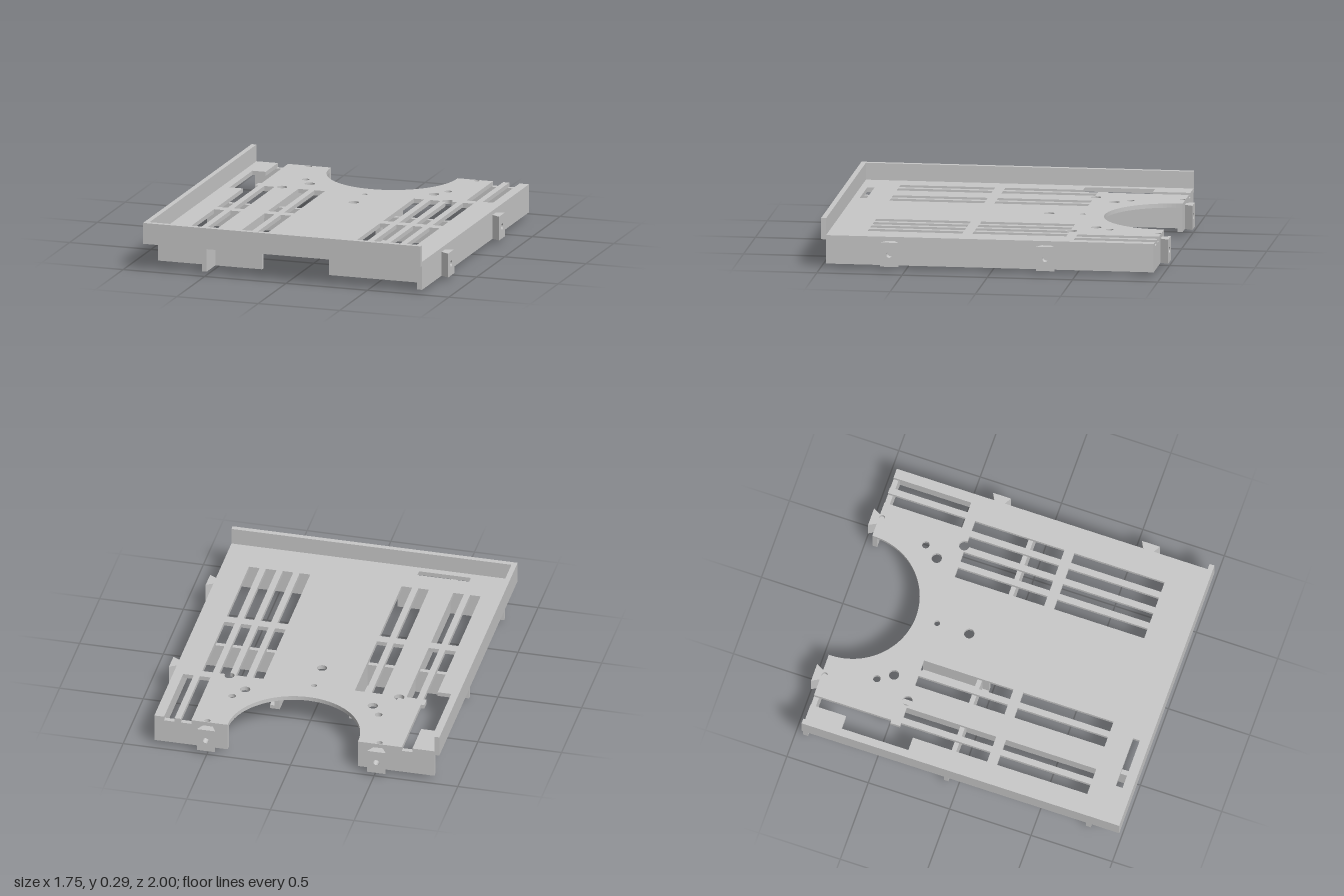
import * as THREE from 'three';

export function createModel() {
  const model = new THREE.Group();
  const metal = new THREE.MeshStandardMaterial({ color: 0xc8c8c8 });
  metal.name = 'grey metal';

  const add = (name, geometry) => {
    const mesh = new THREE.Mesh(geometry, metal);
    mesh.name = name;
    model.add(mesh);
    return mesh;
  };
  // Box given by its limits on each axis
  const box = (name, x0, x1, y0, y1, z0, z1) =>
    add(name, new THREE.BoxGeometry(x1 - x0, y1 - y0, z1 - z0))
      .position.set((x0 + x1) / 2, (y0 + y1) / 2, (z0 + z1) / 2);

  const back = -0.952; // rear edge of the deck

  // Deck outline in plan (x, z), with open slots and a round cut-out at the back
  const deck = new THREE.Shape();
  const lines = (path, pts) => pts.forEach(([x, z]) => path.lineTo(x, z));
  deck.moveTo(-0.848, 0.97);
  lines(deck, [[0.825, 0.97], [0.825, back]]);
  for (const x of [0.767, 0.667]) {
    lines(deck, [[x, back], [x, -0.475], [x - 0.063, -0.475], [x - 0.063, back]]);
  }
  lines(deck, [[0.387, back]]);
  deck.absarc(-0.002, -0.938, 0.389, 0, Math.PI, false);
  lines(deck, [
    [-0.391, back], [-0.654, back], [-0.654, -0.477], [-0.674, -0.477], [-0.674, -0.417],
    [-0.654, -0.417], [-0.654, 0.133], [-0.717, 0.133], [-0.717, -0.323], [-0.798, -0.323],
    [-0.798, -0.733], [-0.717, -0.733], [-0.717, back], [-0.848, back],
  ]);

  // Vent slots, wound against the outline
  const slot = (x0, x1, z0, z1) => {
    const h = new THREE.Path();
    h.moveTo(x0, z0);
    lines(h, [[x1, z0], [x1, z1], [x0, z1]]);
    h.closePath();
    deck.holes.push(h);
  };
  for (const x of [-0.717, -0.617, -0.408, -0.308, 0.301, 0.402, 0.503, 0.604]) {
    slot(x, x + 0.063, 0.193, 0.748);
    if (x !== -0.717 && x !== 0.503) slot(x, x + 0.063, -0.417, 0.133);
  }
  slot(-0.615, -0.305, 0.888, 0.93);

  // Slot merged with a round hole at its corner
  const keyhole = new THREE.Path();
  keyhole.moveTo(0.566, 0.133);
  lines(keyhole, [[0.503, 0.133], [0.503, -0.397]]);
  keyhole.absarc(0.503, -0.427, 0.03, Math.PI / 2, Math.PI * 2 + 0.34, false);
  lines(keyhole, [[0.566, -0.417]]);
  keyhole.closePath();
  deck.holes.push(keyhole);

  // Round holes: x, z, radius
  for (const [x, z, r] of [
    [-0.44, -0.64, 0.022], [0.435, -0.64, 0.022], [-0.385, -0.553, 0.03], [0.378, -0.553, 0.03],
    [-0.002, -0.42, 0.017], [-0.002, -0.223, 0.03], [-0.512, -0.427, 0.03],
    [-0.517, -0.934, 0.017], [0.511, -0.934, 0.017],
  ]) {
    deck.holes.push(new THREE.Path().absarc(x, z, r, 0, Math.PI * 2, false));
  }
  const deckGeometry = new THREE.ExtrudeGeometry(deck, {
    depth: 0.025, bevelEnabled: false, curveSegments: 24,
  });
  deckGeometry.rotateX(Math.PI / 2);
  add('deck', deckGeometry).position.y = 0.19;

  // Raised lips
  box('leftLip', -0.878, -0.848, 0.165, 0.29, back, 1);
  box('frontLip', -0.848, 0.825, 0.165, 0.29, 0.97, 1);

  // Walls and ribs under the deck
  const lo = 0.022, hi = 0.165;
  box('sideWall', 0.795, 0.825, lo, hi, back, 0.97);
  box('longRib', -0.527, -0.497, lo, hi, back + 0.03, 0.97);
  box('backFlange', -0.848, -0.391, lo, hi, back, back + 0.03);
  box('backFlange', 0.387, 0.795, lo, hi, back, back + 0.03);
  for (const z of [-0.088, 0.787]) {
    box('crossRib', -0.848, -0.211, lo, hi, z, z + 0.028);
    box('crossRib', 0.202, 0.795, lo, hi, z, z + 0.028);
  }

  // Angle-section feet
  box('footWeb', -0.241, -0.211, lo, hi, -0.425, -0.02);
  box('footFlange', -0.269, -0.211, 0, lo, -0.425, -0.02);
  box('footWeb', 0.202, 0.232, lo, hi, -0.425, -0.02);
  box('footFlange', 0.202, 0.26, 0, lo, -0.425, -0.02);

  // Dovetail connectors: drilled blocks narrowed where they meet the wall
  const face = new THREE.Shape();
  face.moveTo(-0.055, -0.0715);
  lines(face, [[0.055, -0.0715], [0.055, 0.0715], [-0.055, 0.0715]]);
  face.holes.push(new THREE.Path().absarc(0, 0, 0.018, 0, Math.PI * 2, true));
  const dovetail = new THREE.ExtrudeGeometry(face, { depth: 0.05, bevelEnabled: false });
  const pos = dovetail.attributes.position;
  for (let i = 0; i < pos.count; i++) {
    if (pos.getZ(i) < 0.01 && Math.abs(pos.getX(i)) > 0.04) pos.setX(i, pos.getX(i) * 0.5);
  }
  dovetail.computeVertexNormals();
  for (const [x, z, turn] of [
    [-0.513, -0.95, Math.PI], [0.505, -0.95, Math.PI],
    [0.825, -0.323, Math.PI / 2], [0.825, 0.592, Math.PI / 2],
  ]) {
    const connector = add('dovetailConnector', dovetail);
    connector.position.set(x, 0.0935, z);
    connector.rotation.y = turn;
  }

  return model;
}
